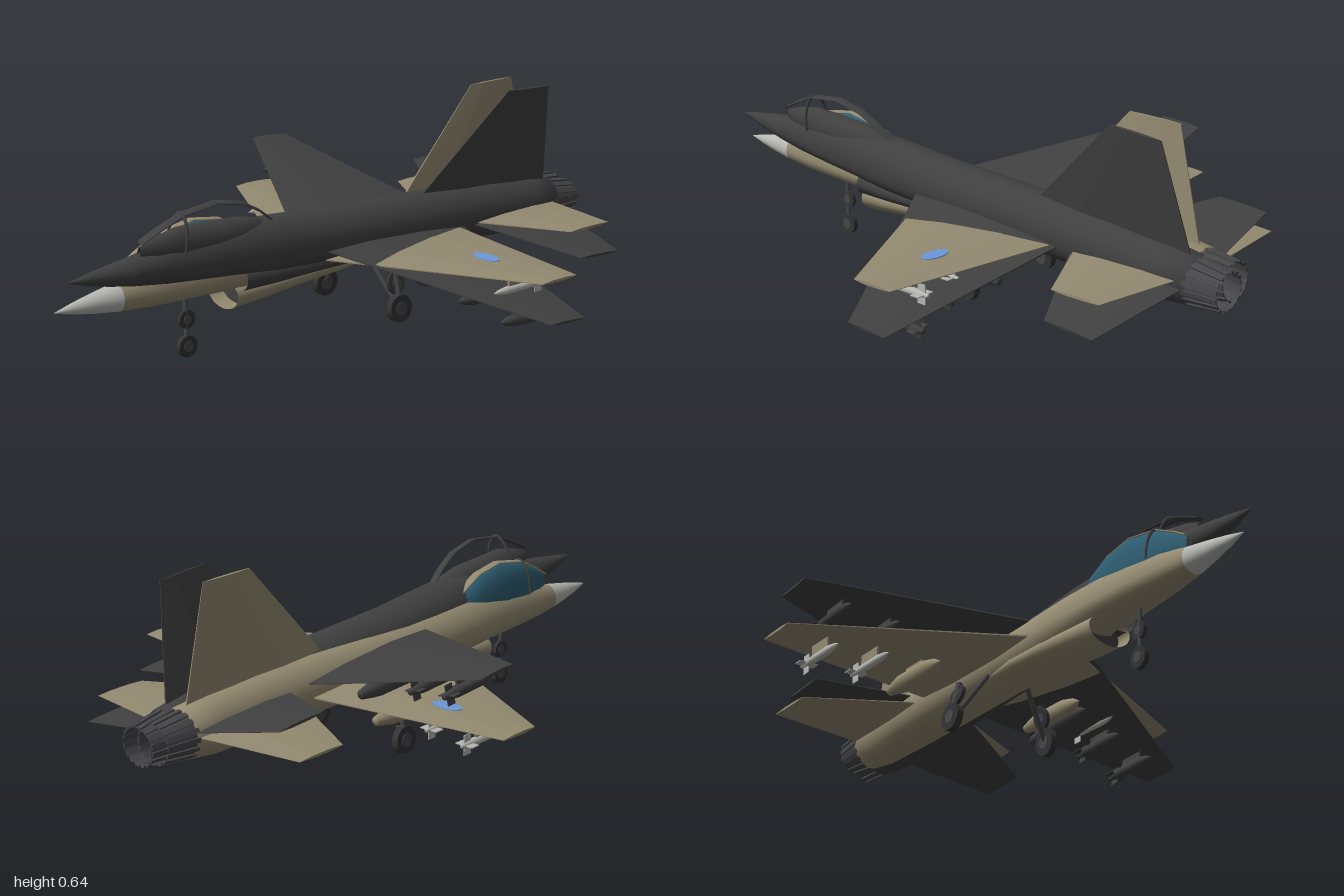
import * as THREE from 'three';
import { ConvexGeometry } from 'three/addons/geometries/ConvexGeometry.js';

const mat = (name, color, side = THREE.FrontSide) => {
  const m = new THREE.MeshStandardMaterial({ color, side });
  m.name = name;
  return m;
};

// Skin through elliptical rings running nose to tail: [z, halfWidth, top, bottom, centreY]
function loft(sections, n = 28) {
  const pos = [], idx = [];
  sections.forEach(([z, w, top, bot, cy = 0]) => {
    for (let j = 0; j < n; j++) {
      const a = (j / n) * Math.PI * 2, s = Math.sin(a);
      pos.push(w * Math.cos(a), cy + s * (s > 0 ? top : bot), z);
    }
  });
  for (let i = 0; i < sections.length - 1; i++)
    for (let j = 0; j < n; j++) {
      const a = i * n + j, b = i * n + (j + 1) % n;
      idx.push(a, a + n, b, b, a + n, b + n);
    }
  const g = new THREE.BufferGeometry();
  g.setAttribute('position', new THREE.Float32BufferAttribute(pos, 3));
  g.setIndex(idx);
  g.computeVertexNormals();
  return g;
}

// Tapered flying surface; each end is [span, leadingZ, trailingZ, thickness]
function panel(ends, place) {
  const pts = [];
  for (const [span, le, te, t] of ends)
    for (const [f, k] of [[0, 0.1], [0.3, 0.5], [0.7, 0.45], [1, 0.08]])
      for (const s of [-1, 1]) pts.push(place(span, s * k * t, le + (te - le) * f));
  return new ConvexGeometry(pts);
}

function createJet(c, grounded) {
  const jet = new THREE.Group();
  const add = (name, geo, m, x = 0, y = 0, z = 0, parent = jet) => {
    const mesh = new THREE.Mesh(geo, m);
    mesh.name = name;
    mesh.position.set(x, y, z);
    parent.add(mesh);
    return mesh;
  };
  const rod = (name, a, b, r, m) => {
    const p = new THREE.Vector3(...a), q = new THREE.Vector3(...b);
    const mesh = add(name, new THREE.CylinderGeometry(r, r, p.distanceTo(q), 10), m);
    mesh.position.copy(p).add(q).multiplyScalar(0.5);
    mesh.quaternion.setFromUnitVectors(new THREE.Vector3(0, 1, 0), q.sub(p).normalize());
  };

  // Body
  add('radome', loft([[1, 0.001, 0.001, 0.001], [0.94, 0.015, 0.016, 0.016],
    [0.87, 0.029, 0.03, 0.029], [0.79, 0.042, 0.044, 0.04]]), c.radome);
  add('fuselage', loft([[0.79, 0.042, 0.044, 0.04], [0.68, 0.058, 0.07, 0.048],
    [0.55, 0.071, 0.088, 0.051], [0.42, 0.08, 0.1, 0.055], [0.28, 0.087, 0.1, 0.068],
    [0.05, 0.088, 0.092, 0.078], [-0.3, 0.088, 0.096, 0.082], [-0.6, 0.087, 0.094, 0.086],
    [-0.78, 0.08, 0.084, 0.09], [-0.88, 0.07, 0.073, 0.078], [-0.882, 0.001, 0.001, 0.001]]), c.body);
  add('intake', loft([[0.41, 0.073, 0.045, 0.05, -0.065], [0.3, 0.077, 0.045, 0.046, -0.06],
    [0.15, 0.08, 0.04, 0.04, -0.05], [0.02, 0.08, 0.04, 0.035, -0.045], [-0.1, 0.07, 0.03, 0.025, -0.045]]), c.bodyOpen);
  add('intakeDuct', loft([[0.36, 0.001, 0.001, 0.001, -0.065], [0.359, 0.071, 0.043, 0.045, -0.065]]), c.dark);

  // Exhaust nozzle with petals
  const ring = add('nozzle', new THREE.CylinderGeometry(0.069, 0.056, 0.115, 24, 1, true), c.nozzle, 0, -0.004, -0.927);
  ring.rotation.x = Math.PI / 2;
  add('nozzleThroat', new THREE.CircleGeometry(0.066, 24), c.dark, 0, -0.004, -0.9).rotation.y = Math.PI;
  for (let i = 0; i < 16; i++) {
    const a = (i / 16) * Math.PI * 2, holder = new THREE.Group();
    holder.name = 'nozzlePetal';
    holder.position.set(0, -0.004, -0.928);
    holder.rotation.z = a;
    add('petal', new THREE.BoxGeometry(0.014, 0.006, 0.112), c.nozzle, 0, 0.064, 0, holder).rotation.x = -0.11;
    jet.add(holder);
  }

  // Wings, tailplanes and fin
  for (const s of [-1, 1]) {
    const flat = (span, t, z) => new THREE.Vector3(s * span, t, z);
    const side = s > 0 ? 'left' : 'right';
    add(side + 'Wing', panel([[0.04, 0.152, -0.44, 0.026], [0.707, -0.205, -0.345, 0.009]], flat), c.body);
    add(side + 'Tailplane', panel([[0.04, -0.46, -0.875, 0.02], [0.397, -0.655, -0.825, 0.008]], flat), c.body);
  }
  add('fin', panel([[0.06, -0.28, -0.86, 0.026], [0.41, -0.6, -0.78, 0.01]],
    (span, t, z) => new THREE.Vector3(t, span, z)), c.body);

  // Canopy: sill, centre strip, hoop, rails and glazing
  const hood = [[0.77, 0.008, 0.03], [0.72, 0.028, 0.06], [0.64, 0.044, 0.1], [0.52, 0.052, 0.122],
    [0.42, 0.05, 0.106], [0.35, 0.038, 0.072], [0.29, 0.01, 0.03]];
  add('cockpitSill', loft(hood.map(([z, w, h]) => [z, w * 0.93, Math.min(h * 0.7, 0.062), 0.04, 0.055])), c.dark);
  add('canopyStrip', loft(hood.map(([z, , h]) => [z, 0.015, 0.004, 0.004, 0.057 + h]), 10), c.body);
  const hoop = add('canopyHoop', new THREE.TorusGeometry(0.047, 0.004, 6, 24, Math.PI), c.dark, 0, 0.057, 0.64);
  hoop.scale.y = 2.15;
  if (grounded) add('canopyGlass', loft(hood.map(([z, w, h]) => [z, w, h, 0.03, 0.057])), c.glass);

  // Wing stores, mirrored
  const store = (name, x, r, length, z, m, fins) => {
    const g = new THREE.Group();
    g.name = name;
    g.position.set(x, -0.05, z);
    const h = length / 2;
    add('storeBody', loft([[h, 0.001, 0.001, 0.001], [h * 0.8, r * 0.65, r * 0.65, r * 0.65], [h * 0.5, r, r, r],
      [-h * 0.5, r, r, r], [-h, r * 0.5, r * 0.5, r * 0.5], [-h - 0.001, 0.001, 0.001, 0.001]], 14), m, 0, 0, 0, g);
    for (const fz of fins) {
      add('storeFin', new THREE.BoxGeometry(0.06, 0.003, 0.03), m, 0, 0, fz, g);
      add('storeFin', new THREE.BoxGeometry(0.003, 0.06, 0.03), m, 0, 0, fz, g);
    }
    add('pylon', new THREE.BoxGeometry(0.007, 0.05, 0.09), c.body, 0, 0.026, 0, g);
    jet.add(g);
  };
  for (const s of [-1, 1]) {
    store('fuelTank', s * 0.257, 0.028, 0.28, -0.22, c.body, []);
    store('innerMissile', s * 0.415, grounded ? 0.012 : 0.018, 0.21, -0.22, c.missile, [-0.08]);
    store('outerMissile', s * 0.568, grounded ? 0.012 : 0.018, 0.21, -0.25, c.missile, [-0.08]);
  }
  if (!grounded) return jet;

  // Wing roundels
  for (const s of [-1, 1]) {
    const disc = add('roundel', new THREE.CylinderGeometry(1, 1, 0.006, 24), c.blue, s * 0.43, 0.0072, -0.25);
    disc.scale.set(0.05, 1, 0.026);
    disc.rotation.z = -s * 0.012;
  }

  // Landing gear
  const wheel = (name, x, y, z, r, w, tilt) => {
    const g = new THREE.Group();
    g.name = name;
    g.position.set(x, y, z);
    g.rotation.z = tilt;
    add('tyre', new THREE.CylinderGeometry(r, r, w, 22), c.tyre, 0, 0, 0, g).rotation.z = Math.PI / 2;
    add('hub', new THREE.CylinderGeometry(r * 0.5, r * 0.5, w + 0.004, 14), c.nozzle, 0, 0, 0, g).rotation.z = Math.PI / 2;
    jet.add(g);
  };
  wheel('noseWheel', 0, -0.201, 0.545, 0.033, 0.017, 0);
  wheel('noseLamp', 0, -0.118, 0.545, 0.028, 0.012, 0);
  rod('noseStrut', [0, -0.03, 0.55], [0, -0.2, 0.545], 0.007, c.nozzle);
  for (const s of [-1, 1]) {
    wheel('mainWheel', s * 0.173, -0.191, -0.137, 0.043, 0.022, s * 0.06);
    rod('mainStrut', [s * 0.07, -0.04, -0.1], [s * 0.165, -0.185, -0.137], 0.008, c.nozzle);
    rod('mainBrace', [s * 0.15, -0.075, -0.137], [s * 0.175, -0.18, -0.137], 0.01, c.nozzle);
    wheel('mainGearPlate', s * 0.155, -0.115, -0.137, 0.033, 0.012, s * 0.24);
  }
  return jet;
}

export function createModel() {
  const root = new THREE.Group();
  const DS = THREE.DoubleSide;
  const tan = mat('tan paint', 0x938a70, DS), charcoal = mat('charcoal paint', 0x404040, DS);
  const grey = mat('light grey', 0xb6b6b2), metal = mat('nozzle metal', 0x47474a, DS);
  const black = mat('tyre black', 0x333333), glass = mat('teal glass', 0x2d5c70, DS);
  const blue = mat('roundel blue', 0x6c98d8);

  // Level aircraft standing on its wheels
  const level = createJet({ body: tan, bodyOpen: tan, radome: grey, missile: grey, nozzle: metal,
    dark: charcoal, tyre: black, glass, blue }, true);
  level.name = 'tanAircraft';
  level.position.set(-0.0175, 0.235, 0);

  // Banked aircraft, nose slightly raised
  const banked = createJet({ body: charcoal, bodyOpen: charcoal, radome: charcoal, missile: charcoal,
    nozzle: metal, dark: charcoal }, false);
  banked.name = 'charcoalAircraft';
  banked.position.set(0.03, 0.275, -0.015);
  banked.rotation.set(-0.055, 0, -0.208);

  root.add(level, banked);
  return root;
}
